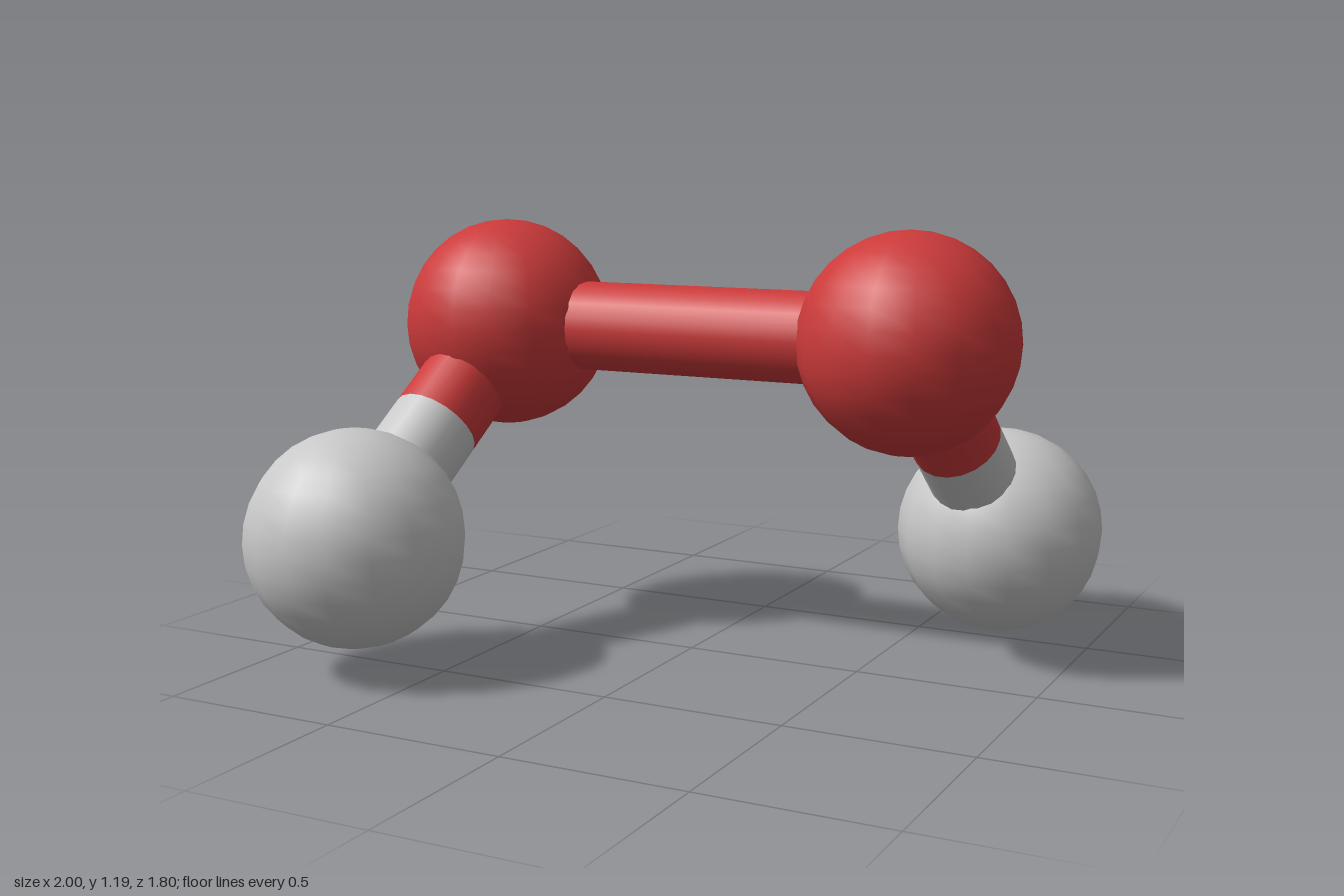
import * as THREE from 'three';

export function createModel() {
  const model = new THREE.Group();
  model.name = 'molecule';

  const red = new THREE.MeshStandardMaterial({ color: 0xcc3a3a });
  red.name = 'red';
  const grey = new THREE.MeshStandardMaterial({ color: 0xc8c8c8 });
  grey.name = 'light grey';

  const ballShape = new THREE.SphereGeometry(0.296, 16, 16);

  function addBall(name, centre, material) {
    const ball = new THREE.Mesh(ballShape, material);
    ball.name = name;
    ball.position.copy(centre);
    model.add(ball);
  }

  // Round rod between two points
  function addRod(name, from, to, material) {
    const axis = to.clone().sub(from);
    const shape = new THREE.CylinderGeometry(0.126, 0.126, axis.length(), 20, 1, false);
    const rod = new THREE.Mesh(shape, material);
    rod.name = name;
    rod.position.copy(from).add(to).multiplyScalar(0.5);
    rod.quaternion.setFromUnitVectors(new THREE.Vector3(0, 1, 0), axis.normalize());
    model.add(rod);
  }

  const arms = [
    { side: 'right', inner: new THREE.Vector3(-0.617, 0.9, -0.035), outer: new THREE.Vector3(-0.704, 0.373, 0.602) },
    { side: 'left', inner: new THREE.Vector3(0.617, 0.9, -0.035), outer: new THREE.Vector3(0.704, 0.3, -0.604) },
  ];

  // Each arm: two atoms joined by a bond that changes colour halfway
  for (const { side, inner, outer } of arms) {
    const middle = inner.clone().lerp(outer, 0.5);
    addBall(`${side}OxygenAtom`, inner, red);
    addBall(`${side}HydrogenAtom`, outer, grey);
    addRod(`${side}BondRedHalf`, inner, middle, red);
    addRod(`${side}BondGreyHalf`, middle, outer, grey);
  }

  // Central bond
  addRod('centralBond', arms[0].inner, arms[1].inner, red);

  return model;
}
